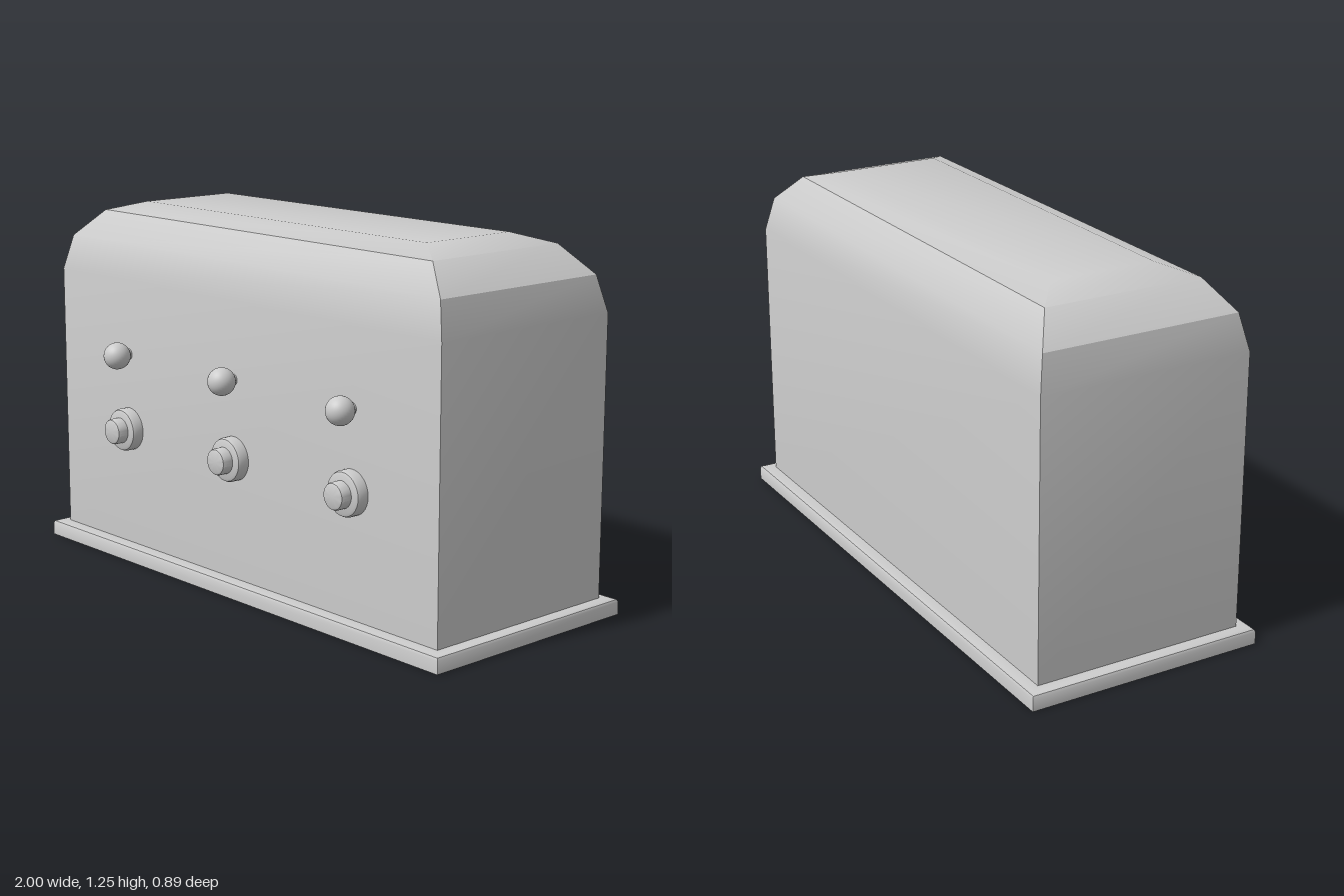
import * as THREE from 'three';
import { toCreasedNormals } from 'three/addons/utils/BufferGeometryUtils.js';

const MID_Z = -0.025; // the case sits slightly behind centre
const CREASE = Math.PI / 6;

const solid = new THREE.MeshStandardMaterial({ color: 0xcccccc });
const shell = new THREE.MeshStandardMaterial({ color: 0xcccccc, side: THREE.DoubleSide });

function mesh(name, geometry, material = solid) {
  const m = new THREE.Mesh(geometry, material);
  m.name = name;
  return m;
}

// Skins stacked rectangles given as [halfWidth, halfDepth, y], bottom to top.
function rectLoft(rings, capTop) {
  const positions = [];
  const index = [];
  for (const [hx, hz, y] of rings) {
    positions.push(-hx, y, hz, hx, y, hz, hx, y, -hz, -hx, y, -hz);
  }
  for (let r = 0; r < rings.length - 1; r++) {
    for (let i = 0; i < 4; i++) {
      const a = r * 4 + i;
      const b = r * 4 + ((i + 1) % 4);
      index.push(a, b, b + 4, a, b + 4, a + 4);
    }
  }
  if (capTop) {
    const t = (rings.length - 1) * 4;
    index.push(t, t + 1, t + 2, t, t + 2, t + 3);
  }
  const g = new THREE.BufferGeometry();
  g.setAttribute('position', new THREE.Float32BufferAttribute(positions, 3));
  g.setIndex(index);
  return toCreasedNormals(g, CREASE);
}

// Turned part pointing forward (+z), from [radius, distance] pairs.
function turned(profile, segments = 32) {
  const g = new THREE.LatheGeometry(profile.map(([r, d]) => new THREE.Vector2(r, d)), segments);
  g.rotateX(Math.PI / 2);
  return toCreasedNormals(g, CREASE);
}

export function createModel() {
  const model = new THREE.Group();
  model.name = 'switchBox';

  // Hollow case with a faceted, rounded-over top, open underneath
  const caseShell = mesh('case', rectLoft([
    [0.955, 0.375, 0.055],
    [0.955, 0.375, 1.0],
    [0.923, 0.35, 1.122],
    [0.82, 0.28, 1.217],
    [0.7, 0.185, 1.25],
  ], true), shell);

  // Flanged skirt around the foot, also open underneath
  const skirt = mesh('baseFlange', rectLoft([
    [1.0, 0.42, 0],
    [1.0, 0.42, 0.043],
    [0.996, 0.416, 0.051],
    [0.985, 0.405, 0.055],
    [0.955, 0.375, 0.055],
  ], false), shell);
  caseShell.position.z = skirt.position.z = MID_Z;
  model.add(caseShell, skirt);

  // Shared geometry for the three sets of controls
  const ball = new THREE.SphereGeometry(0.047, 32, 20);
  const stem = turned([[0.02, 0], [0.02, 0.02]], 20);
  const collar = turned([
    [0, 0], [0.075, 0], [0.075, 0.03], [0.071, 0.039], [0.062, 0.043], [0, 0.043],
  ]);
  const button = turned([
    [0.045, 0.04], [0.045, 0.074], [0.042, 0.08], [0.036, 0.083], [0, 0.083],
  ]);

  for (const x of [-0.573, 0, 0.573]) {
    // Ball lever on a short stem
    const lever = new THREE.Group();
    lever.name = 'ballLever';
    lever.position.set(x, 0.74, 0.35);
    const tip = mesh('ball', ball);
    tip.position.z = 0.05;
    lever.add(mesh('stem', stem), tip);

    // Stepped knob below it
    const knob = new THREE.Group();
    knob.name = 'knob';
    knob.position.set(x, 0.472, 0.35);
    knob.add(mesh('knobCollar', collar), mesh('knobButton', button));

    model.add(lever, knob);
  }
  return model;
}
